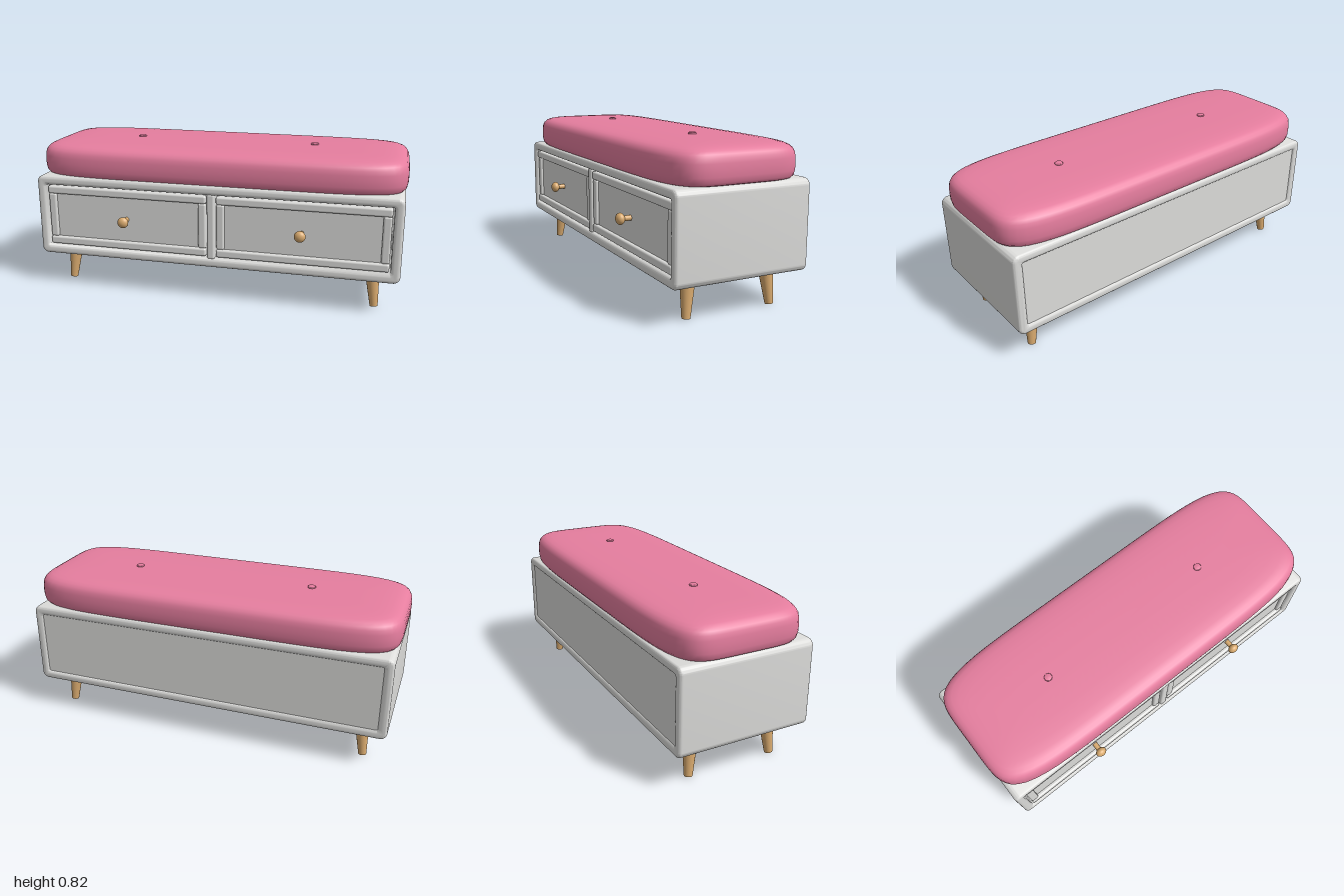
import * as THREE from 'three';
import { toCreasedNormals } from 'three/addons/utils/BufferGeometryUtils.js';
import { RoundedBoxGeometry } from 'three/addons/geometries/RoundedBoxGeometry.js';

const MID_Z = -0.02; // depth centre of the cabinet

function material(name, color) {
  const m = new THREE.MeshStandardMaterial({ color });
  m.name = name;
  return m;
}

function roundedRect(path, x0, y0, x1, y1, r) {
  path.moveTo(x0 + r, y0);
  path.lineTo(x1 - r, y0);
  path.absarc(x1 - r, y0 + r, r, -Math.PI / 2, 0);
  path.lineTo(x1, y1 - r);
  path.absarc(x1 - r, y1 - r, r, 0, Math.PI / 2);
  path.lineTo(x0 + r, y1);
  path.absarc(x0 + r, y1 - r, r, Math.PI / 2, Math.PI);
  path.lineTo(x0, y0 + r);
  path.absarc(x0 + r, y0 + r, r, Math.PI, Math.PI * 1.5);
  return path;
}

// Open-ended cabinet shell with softened edges
function shellGeometry() {
  const bevel = 0.018;
  const shape = roundedRect(new THREE.Shape(), -0.99, 0.185, 0.99, 0.635, 0.035);
  shape.holes.push(roundedRect(new THREE.Path(), -0.94, 0.236, 0.94, 0.585, 0.008));
  const geo = new THREE.ExtrudeGeometry(shape, {
    depth: 0.72 - 2 * bevel, bevelEnabled: true, bevelThickness: bevel,
    bevelSize: bevel, bevelOffset: -bevel, bevelSegments: 5, curveSegments: 8,
  });
  geo.translate(0, 0, MID_Z - 0.36 + bevel);
  return toCreasedNormals(geo, 0.6);
}

// Pillow form: superellipse rings following an [inset, height] profile
function cushionGeometry() {
  const profile = [
    [0.2, 0.632], [0.03, 0.632], [0.016, 0.637], [0.006, 0.65], [0.001, 0.675], [0, 0.705],
    [0.001, 0.735], [0.005, 0.758], [0.013, 0.774], [0.026, 0.787], [0.045, 0.796],
    [0.075, 0.802], [0.12, 0.806], [0.19, 0.809], [0.3, 0.81],
  ];
  const N = 128, power = 6, pos = [], idx = [];
  for (const [inset, y] of profile) {
    for (let i = 0; i < N; i++) {
      const a = (i / N) * Math.PI * 2, c = Math.cos(a), s = Math.sin(a);
      const r = Math.pow(Math.abs(c) ** power + Math.abs(s) ** power, -1 / power);
      pos.push(c * r * (1 - inset), y, s * r * (0.367 - inset) + MID_Z - 0.002);
    }
  }
  const bottom = pos.length / 3, top = bottom + 1, last = (profile.length - 1) * N;
  pos.push(0, 0.632, MID_Z, 0, 0.81, MID_Z);
  for (let i = 0; i < N; i++) {
    const j = (i + 1) % N;
    for (let k = 0; k < last; k += N) {
      idx.push(k + i, k + N + i, k + j, k + j, k + N + i, k + N + j);
    }
    idx.push(bottom, i, j, top, last + j, last + i);
  }
  const geo = new THREE.BufferGeometry();
  geo.setAttribute('position', new THREE.Float32BufferAttribute(pos, 3));
  geo.setIndex(idx);
  geo.computeVertexNormals();
  return geo;
}

export function createModel() {
  const paint = material('grey paint', 0xdcdcda);
  const wood = material('light wood', 0xdaab6f);
  const fabric = material('pink fabric', 0xe67e9f);
  const model = new THREE.Group();
  model.name = 'storageBench';

  function add(parent, name, geo, mat, x = 0, y = 0, z = 0) {
    const mesh = new THREE.Mesh(geo, mat);
    mesh.name = name;
    mesh.position.set(x, y, z);
    parent.add(mesh);
    return mesh;
  }
  const bar = (w, h, d) => new RoundedBoxGeometry(w, h, d, 4, 0.011);

  // Cabinet
  add(model, 'cabinetShell', shellGeometry(), paint);
  add(model, 'backPanel', new THREE.BoxGeometry(1.9, 0.37, 0.02), paint, 0, 0.41, -0.36);
  add(model, 'centreDivider', bar(0.042, 0.36, 0.66), paint, 0, 0.41, 0.004);

  // Drawers: recessed panel, framing and knob
  for (const side of [-1, 1]) {
    const drawer = new THREE.Group();
    drawer.name = side > 0 ? 'leftDrawer' : 'rightDrawer';
    drawer.position.set(side * 0.48, 0.41, 0);
    model.add(drawer);
    add(drawer, 'drawerPanel', new THREE.BoxGeometry(0.9, 0.335, 0.05), paint, 0, 0, 0.285);
    for (const s of [-1, 1]) {
      add(drawer, 'drawerRail', bar(0.905, 0.044, 0.05), paint, 0, s * 0.146, 0.306);
      add(drawer, 'drawerStile', bar(0.044, 0.25, 0.045), paint, s * 0.43, 0, 0.304);
    }
    const stem = new THREE.CylinderGeometry(0.014, 0.014, 0.06, 24).rotateX(Math.PI / 2);
    add(drawer, 'knobStem', stem, wood, 0, 0, 0.33);
    const knob = new THREE.SphereGeometry(0.03, 32, 20).scale(1, 1, 0.77);
    add(drawer, 'knob', knob, wood, 0, 0, 0.367);
  }

  // Tapered legs, splayed outward
  const up = new THREE.Vector3(0, 1, 0);
  for (const side of [-1, 1]) {
    for (const [name, zTop, zFoot] of [['frontLeg', 0.195, 0.212], ['backLeg', -0.238, -0.255]]) {
      const head = new THREE.Vector3(side * 0.846, 0.2, zTop);
      const foot = new THREE.Vector3(side * 0.866, 0.004, zFoot);
      const axis = head.clone().sub(foot);
      const geo = new THREE.CylinderGeometry(0.039, 0.021, axis.length(), 32);
      const leg = add(model, name, geo, wood);
      leg.position.copy(head).add(foot).multiplyScalar(0.5);
      leg.quaternion.setFromUnitVectors(up, axis.normalize());
    }
  }

  // Seat cushion with two buttons
  add(model, 'cushion', cushionGeometry(), fabric);
  const buttonProfile = [[0, -0.01], [0.02, -0.01], [0.021, 0.004], [0.018, 0.008], [0, 0.009]]
    .map(([x, y]) => new THREE.Vector2(x, y));
  for (const side of [-1, 1]) {
    add(model, 'cushionButton', new THREE.LatheGeometry(buttonProfile, 28), fabric, side * 0.495, 0.811, -0.025);
  }
  return model;
}
